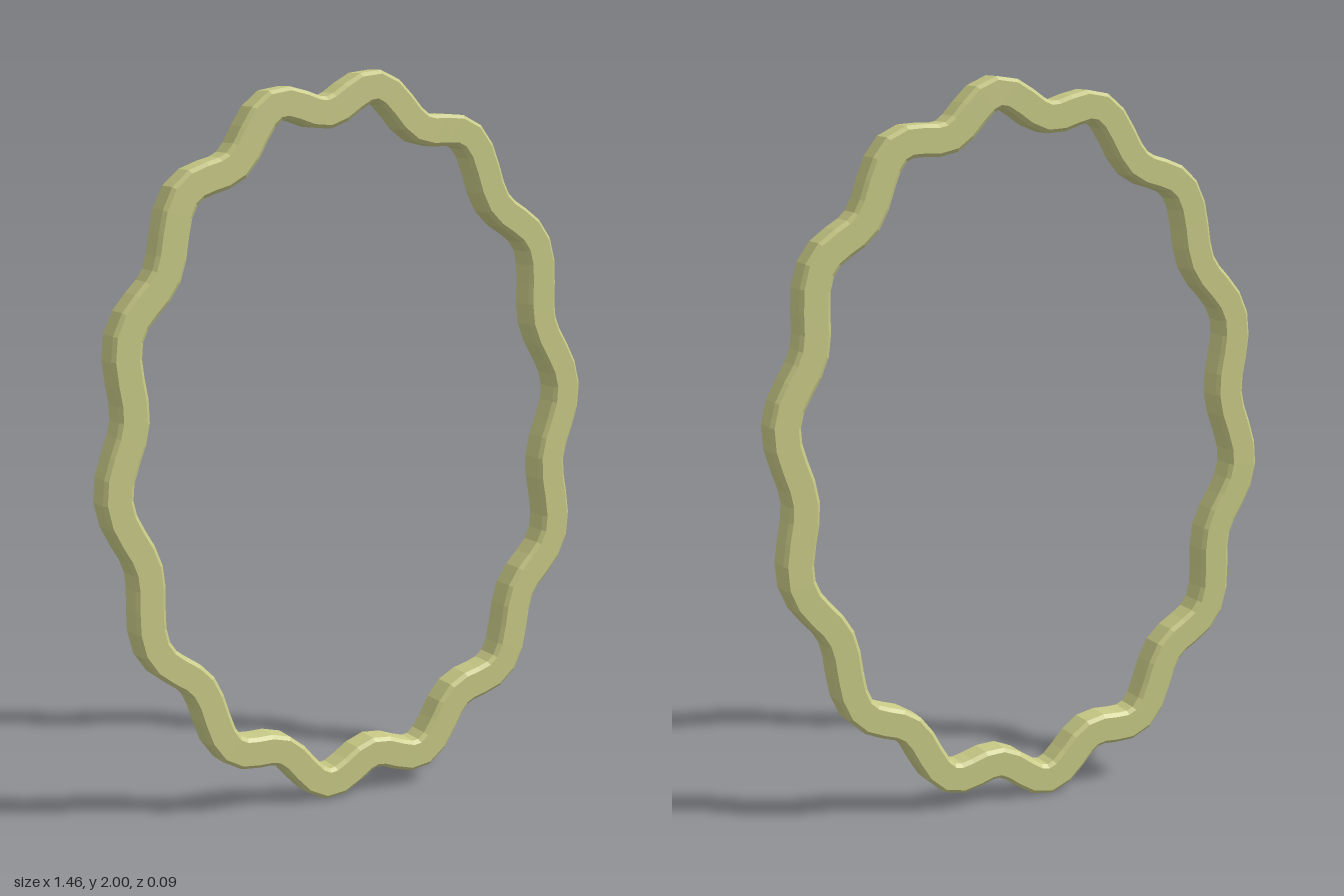
import * as THREE from 'three';

const A = 0.668, B = 0.927;      // ellipse radii of the centre line
const WAVES = 14, RIPPLE = 0.037;
const SEGMENTS = 112;
const HALF = 0.043, CHAMFER = 0.01;

// Rippled ellipse in the x-y plane
function centreLine(t) {
  const r = 1 + RIPPLE * Math.sin(WAVES * t);
  return new THREE.Vector2(A * r * Math.cos(t), 1 + B * r * Math.sin(t));
}

// Chamfered square section: [offset outwards, z], counter-clockwise
const inner = HALF - CHAMFER;
const section = [
  [HALF, -inner], [HALF, inner], [inner, HALF], [-inner, HALF],
  [-HALF, inner], [-HALF, -inner], [-inner, -HALF], [inner, -HALF],
];

function wavyRing() {
  const positions = [], index = [], n = section.length;
  for (let i = 0; i < SEGMENTS; i++) {
    const t = (i / SEGMENTS) * Math.PI * 2;
    const p = centreLine(t);
    const tangent = centreLine(t + 0.001).sub(centreLine(t - 0.001)).normalize();
    for (const [out, z] of section) {
      positions.push(p.x + tangent.y * out, p.y - tangent.x * out, z);
    }
    const next = (i + 1) % SEGMENTS;
    for (let j = 0; j < n; j++) {
      const k = (j + 1) % n;
      const a = i * n + j, b = next * n + j, c = next * n + k, d = i * n + k;
      index.push(a, b, c, a, c, d);
    }
  }
  const geometry = new THREE.BufferGeometry();
  geometry.setAttribute('position', new THREE.Float32BufferAttribute(positions, 3));
  geometry.setIndex(index);
  const flat = geometry.toNonIndexed();
  flat.computeVertexNormals();
  return flat;
}

export function createModel() {
  const group = new THREE.Group();
  group.name = 'wavyOvalFrame';
  const material = new THREE.MeshStandardMaterial({ color: 0xc8ca86, flatShading: true });
  const ring = new THREE.Mesh(wavyRing(), material);
  ring.name = 'wavyRing';
  group.add(ring);
  return group;
}
